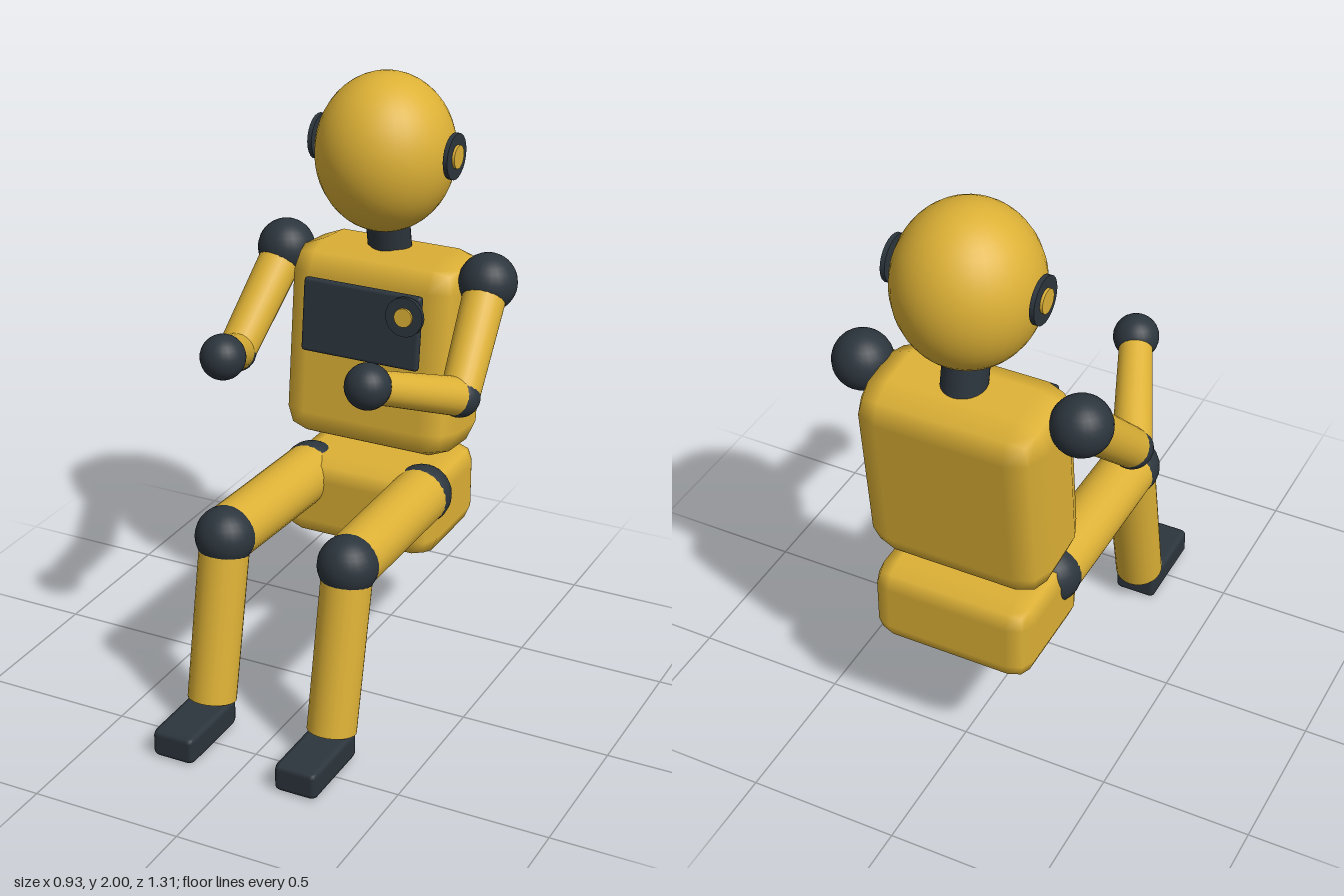
import * as THREE from 'three';
import { RoundedBoxGeometry } from 'three/addons/geometries/RoundedBoxGeometry.js';

const yellow = new THREE.MeshStandardMaterial({ color: 0xddb136 });
yellow.name = 'yellow shell';
const dark = new THREE.MeshStandardMaterial({ color: 0x2c353d });
dark.name = 'dark joint';

const V = (x, y, z) => new THREE.Vector3(x, y, z);

function add(parent, name, geometry, material, position) {
  const mesh = new THREE.Mesh(geometry, material);
  mesh.name = name;
  mesh.position.copy(position);
  parent.add(mesh);
  return mesh;
}

// Box with two-step rounded edges
const block = (w, h, d, r) => new RoundedBoxGeometry(w, h, d, 1, r);

// Ball joint
const ball = (parent, name, p, r) => add(parent, name, new THREE.SphereGeometry(r, 24, 16), dark, p);

// Tapered cylinder from a to b
function limb(parent, name, a, b, ra, rb, material = yellow) {
  const dir = b.clone().sub(a);
  const mesh = add(parent, name, new THREE.CylinderGeometry(rb, ra, dir.length(), 24),
    material, a.clone().add(b).multiplyScalar(0.5));
  mesh.quaternion.setFromUnitVectors(V(0, 1, 0), dir.normalize());
  return mesh;
}

// Dark disc with a smaller yellow disc on its outer (+z) side
function dial(parent, name, position, r, rCap, thickness) {
  const group = new THREE.Group();
  group.name = name;
  group.position.copy(position);
  const disc = (label, radius, t, z, m) =>
    add(group, label, new THREE.CylinderGeometry(radius, radius, t, 24).rotateX(Math.PI / 2), m, V(0, 0, z));
  disc(name + 'Disc', r, thickness, 0, dark);
  disc(name + 'Cap', rCap, 0.009, thickness / 2 + 0.004, yellow);
  parent.add(group);
  return group;
}

export function createModel() {
  const model = new THREE.Group();
  model.name = 'seatedRobot';
  const lean = -0.1;

  // Body
  add(model, 'pelvis', block(0.55, 0.29, 0.415, 0.07), yellow, V(0, 0.557, -0.402));
  add(model, 'torso', block(0.62, 0.676, 0.343, 0.1), yellow, V(0, 1.075, -0.434)).rotation.x = lean;

  // Chest panel and its dial
  add(model, 'chestPanel', block(0.42, 0.25, 0.03, 0.012), dark, V(0, 1.208, -0.245)).rotation.x = lean;
  dial(model, 'chestDial', V(0.165, 1.27, -0.22), 0.065, 0.031, 0.016).rotation.x = lean;

  // Neck and head
  limb(model, 'neck', V(0, 1.38, -0.46), V(0, 1.53, -0.43), 0.072, 0.072, dark);
  add(model, 'head', new THREE.SphereGeometry(1, 32, 24).scale(0.228, 0.26, 0.235), yellow, V(0, 1.74, -0.415));

  // Mirrored ears and limbs
  for (const [side, s] of [['left', 1], ['right', -1]]) {
    const P = (x, y, z) => V(s * x, y, z);
    dial(model, side + 'Ear', P(0.238, 1.757, -0.418), 0.075, 0.038, 0.015).rotation.y = s * Math.PI / 2;

    const arm = new THREE.Group();
    arm.name = side + 'Arm';
    const shoulder = P(0.364, 1.355, -0.42), elbow = P(0.4, 1.077, -0.13), hand = P(0.25, 1.22, 0.222);
    ball(arm, 'shoulder', shoulder, 0.096);
    limb(arm, 'upperArm', shoulder, elbow, 0.072, 0.064);
    ball(arm, 'elbow', elbow, 0.067);
    limb(arm, 'forearm', elbow, hand, 0.063, 0.052);
    ball(arm, 'hand', hand, 0.073);
    model.add(arm);

    const leg = new THREE.Group();
    leg.name = side + 'Leg';
    const hip = P(0.205, 0.62, -0.29), knee = P(0.218, 0.633, 0.286), ankle = P(0.217, 0.095, 0.395);
    ball(leg, 'hip', hip, 0.1);
    limb(leg, 'thigh', hip, knee, 0.097, 0.094);
    ball(leg, 'knee', knee, 0.098);
    limb(leg, 'shin', knee, ankle, 0.082, 0.08);
    add(leg, 'foot', block(0.147, 0.096, 0.296, 0.02), dark, P(0.217, 0.048, 0.507));
    model.add(leg);
  }
  return model;
}
